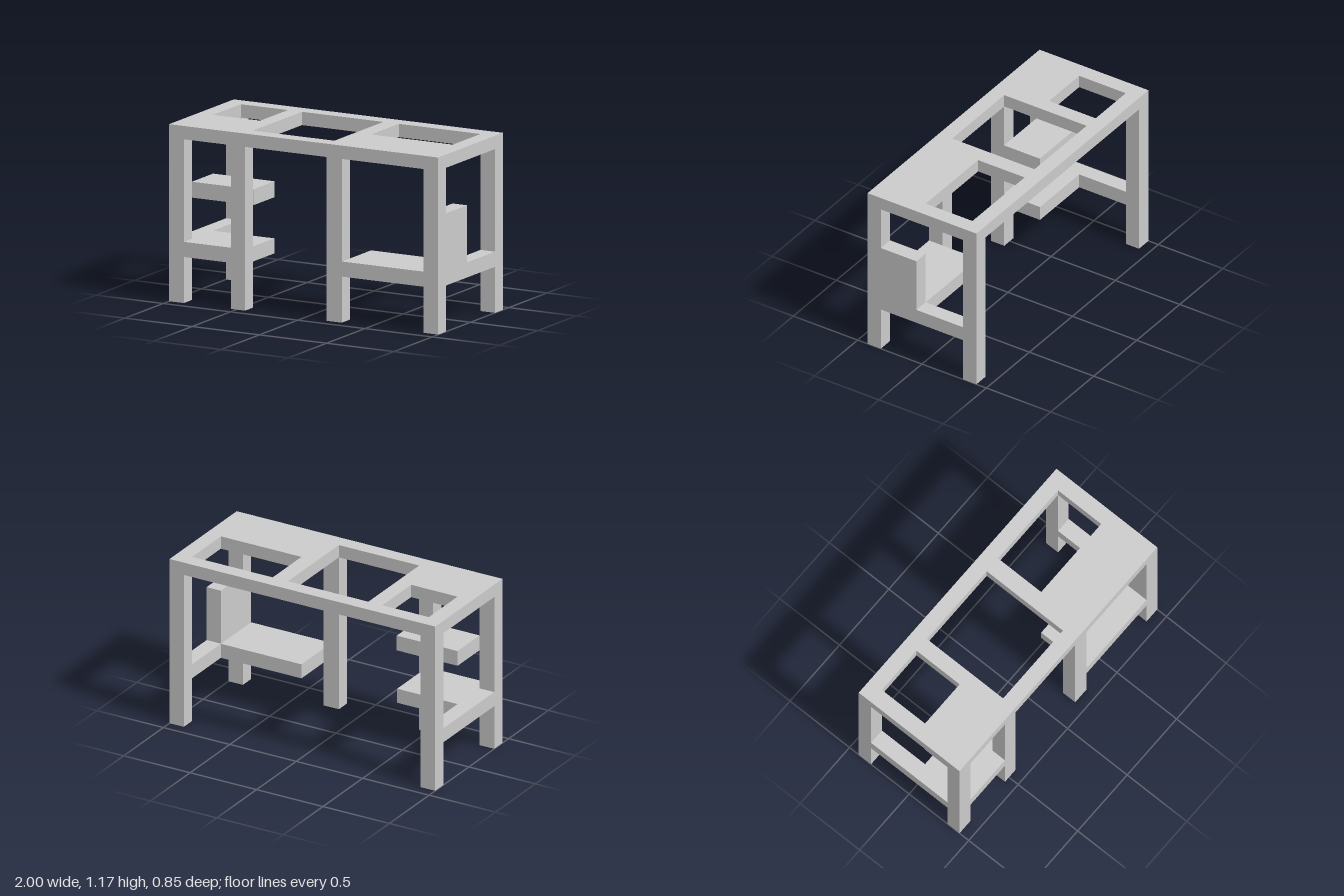
import * as THREE from 'three';

export function createModel() {
  const desk = new THREE.Group();
  desk.name = 'desk';
  const material = new THREE.MeshStandardMaterial({ color: 0xcccccc, flatShading: true });

  // Box given by its limits on each axis
  const block = (name, [x0, x1], [y0, y1], [z0, z1]) => {
    const mesh = new THREE.Mesh(new THREE.BoxGeometry(x1 - x0, y1 - y0, z1 - z0), material);
    mesh.position.set((x0 + x1) / 2, (y0 + y1) / 2, (z0 + z1) / 2);
    mesh.name = name;
    desk.add(mesh);
  };

  const front = [0.32, 0.423], back = [-0.423, -0.32];
  const rightEnd = [-1, -0.89], leftEnd = [0.892, 1];
  const rightInner = [-0.54, -0.435], leftInner = [0.17, 0.285];
  const legHeight = [0, 1.084], low = [0.305, 0.405];

  // Top frame with three openings: the outline runs counter-clockwise, the holes clockwise
  const rect = (Type, x0, x1, z0, z1) => new Type([
    new THREE.Vector2(x0, -z0), new THREE.Vector2(x1, -z0),
    new THREE.Vector2(x1, -z1), new THREE.Vector2(x0, -z1),
  ]);
  const outline = rect(THREE.Shape, -1, 1, 0.423, -0.423);
  outline.holes.push(
    rect(THREE.Path, -0.89, -0.54, -0.32, 0.042),
    rect(THREE.Path, -0.435, 0.17, -0.32, 0.32),
    rect(THREE.Path, 0.285, 0.892, -0.32, 0.042),
  );
  const topGeometry = new THREE.ExtrudeGeometry(outline, { depth: 0.088, bevelEnabled: false });
  topGeometry.rotateX(-Math.PI / 2);
  const top = new THREE.Mesh(topGeometry, material);
  top.position.y = 1.084;
  top.name = 'topFrame';
  desk.add(top);

  // Four front legs, two back legs
  for (const x of [rightEnd, rightInner, leftInner, leftEnd]) block('frontLeg', x, legHeight, front);
  for (const x of [rightEnd, leftEnd]) block('backLeg', x, legHeight, back);

  // Low rails along both ends
  for (const x of [rightEnd, leftEnd]) block('sideRail', x, low, [-0.32, 0.32]);

  // Left bay: wide low shelf and side panel
  block('wideShelf', [0.285, 0.892], low, [0.042, 0.423]);
  block('sidePanel', leftEnd, [0.405, 0.783], [0.044, 0.32]);

  // Right bay: low shelf with its front rail, and upper shelf
  block('lowShelf', [-0.89, -0.435], low, [0.042, 0.32]);
  block('shelfFrontRail', [-0.89, -0.54], low, front);
  block('upperShelf', [-0.89, -0.432], [0.678, 0.783], [0.042, 0.32]);

  return desk;
}
